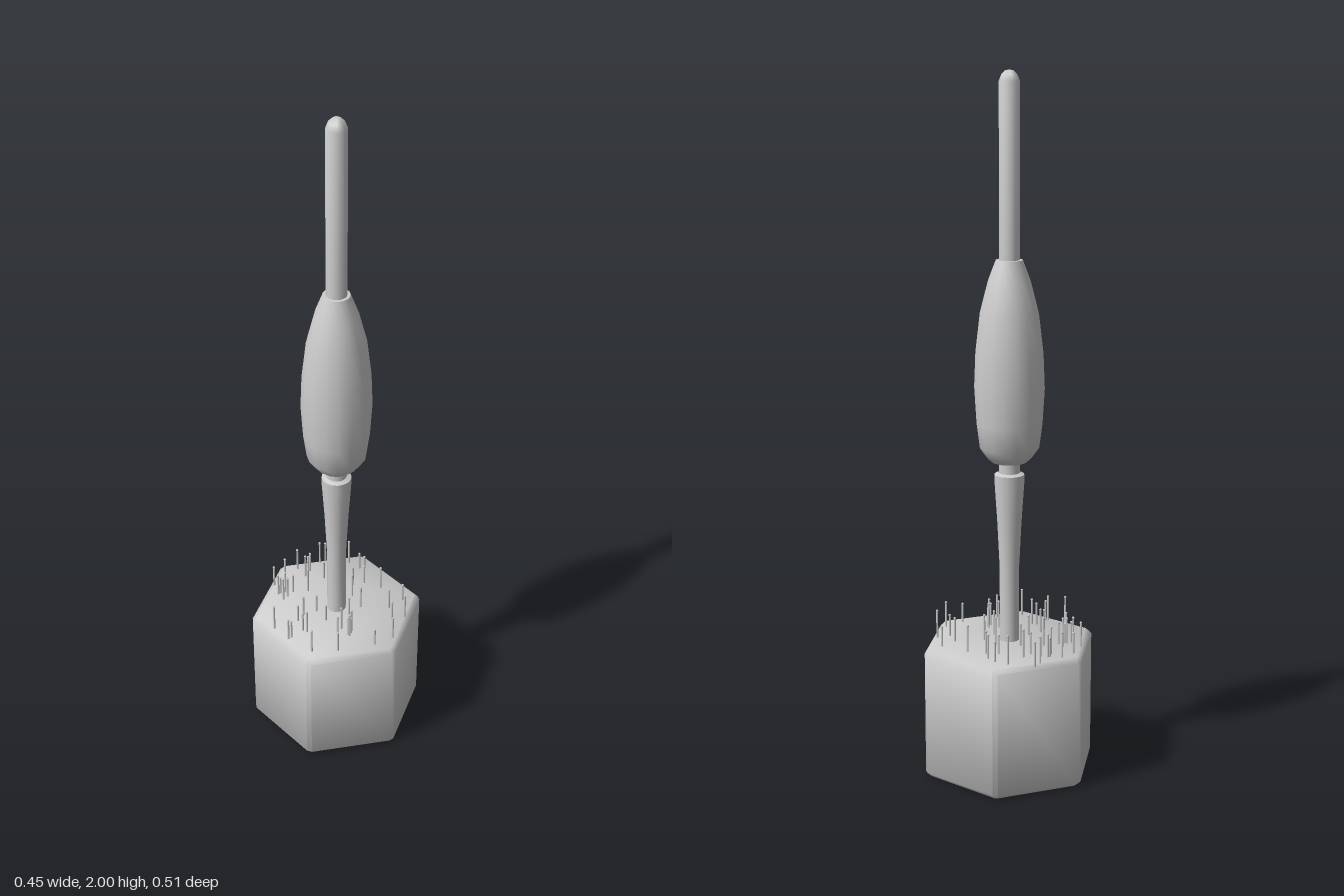
import * as THREE from 'three';
import { toCreasedNormals } from 'three/addons/utils/BufferGeometryUtils.js';

const grey = new THREE.MeshStandardMaterial({ color: 0xcccccc });
grey.name = 'plain grey';

function add(group, name, geometry) {
  const mesh = new THREE.Mesh(geometry, grey);
  mesh.name = name;
  group.add(mesh);
  return mesh;
}

// Turned part from [radius, height] pairs, listed bottom to top
function turned(profile, crease = 0.7) {
  const points = profile.map(([r, y]) => new THREE.Vector2(r, y));
  return toCreasedNormals(new THREE.LatheGeometry(points, 16), crease);
}

// Hexagon with clipped corners, points facing front and back
function hexShape(apothem, clip) {
  const shape = new THREE.Shape();
  const half = apothem / Math.sqrt(3) - clip;
  for (let i = 0; i < 6; i++) {
    const a = (i * Math.PI) / 3, c = Math.cos(a), s = Math.sin(a);
    for (const t of [-half, half]) {
      const x = apothem * c - t * s, y = apothem * s + t * c;
      if (i === 0 && t < 0) shape.moveTo(x, y);
      else shape.lineTo(x, y);
    }
  }
  shape.closePath();
  return shape;
}

export function createModel() {
  const model = new THREE.Group();
  model.name = 'standingHandle';

  // Hexagonal base block with softened edges
  const bevel = 0.013, height = 0.387;
  const block = new THREE.ExtrudeGeometry(hexShape(0.225, 0.009), {
    depth: height - 2 * bevel, bevelEnabled: true, bevelThickness: bevel,
    bevelSize: bevel, bevelOffset: -bevel, bevelSegments: 1,
  });
  block.rotateX(-Math.PI / 2).translate(0, bevel, 0);
  add(model, 'base', toCreasedNormals(block, 1));

  // Stem and flared collar
  add(model, 'stem', turned([
    [0.028, 0.37], [0.028, 0.6], [0.035, 0.74], [0.043, 0.86], [0.043, 0.88], [0.03, 0.885], [0.03, 0.925],
  ]));

  // Swollen grip
  add(model, 'grip', turned([
    [0, 0.915], [0.05, 0.917], [0.064, 0.93], [0.085, 0.96], [0.094, 1.03], [0.1, 1.13],
    [0.096, 1.23], [0.083, 1.34], [0.06, 1.43], [0.038, 1.488], [0, 1.49],
  ]));

  // Upper rod with a rounded tip
  add(model, 'rod', turned([
    [0.029, 1.48], [0.029, 1.97], [0.022, 1.988], [0.011, 1.998], [0, 2],
  ], 1));

  // Fine pins scattered over the top of the base, as x, z pairs
  const pins = [
    -0.028, -0.203, -0.102, -0.192, -0.115, -0.177, 0.011, -0.188, 0.034, -0.166,
    -0.062, -0.141, -0.078, -0.109, -0.17, -0.125, -0.135, -0.126, -0.13, -0.129,
    -0.135, -0.1, -0.197, -0.087, -0.211, -0.029, -0.105, -0.039, -0.146, -0.019,
    -0.168, -0.011, -0.162, -0.009, -0.155, 0.006, -0.162, 0.023, -0.18, 0,
    -0.185, 0.005, 0.011, -0.123, 0.046, -0.128, 0.1, -0.123, 0.18, -0.091,
    0.152, -0.043, 0.208, -0.021, 0.175, 0, 0.201, 0.077, 0.16, 0.123,
    0.066, 0.182, -0.005, 0.211, -0.082, 0.173, -0.088, 0.182, -0.143, 0.153,
    -0.06, 0.134, -0.046, 0.136, -0.088, 0.099, -0.081, 0.07, 0.046, 0.091,
    0.042, 0.113, 0.075, 0.085, 0.079, 0.097, 0.073, 0.109, 0.078, 0.111,
    -0.05, 0.04, 0.05, 0.03, 0.03, -0.06, -0.04, -0.05, 0.07, -0.02, -0.01, 0.07,
  ];
  const bristles = new THREE.Group();
  bristles.name = 'pins';
  const shaft = new THREE.CylinderGeometry(0.003, 0.003, 1, 6);
  const head = new THREE.SphereGeometry(0.004, 6, 4);
  for (let i = 0; i < pins.length; i += 2) {
    const top = 0.47 - 0.03 * ((i * 0.309) % 1), bottom = 0.38;
    const pin = add(bristles, 'pin', shaft);
    pin.scale.y = top - bottom;
    pin.position.set(pins[i], (top + bottom) / 2, pins[i + 1]);
    add(bristles, 'pinHead', head).position.set(pins[i], top, pins[i + 1]);
  }
  model.add(bristles);
  return model;
}
